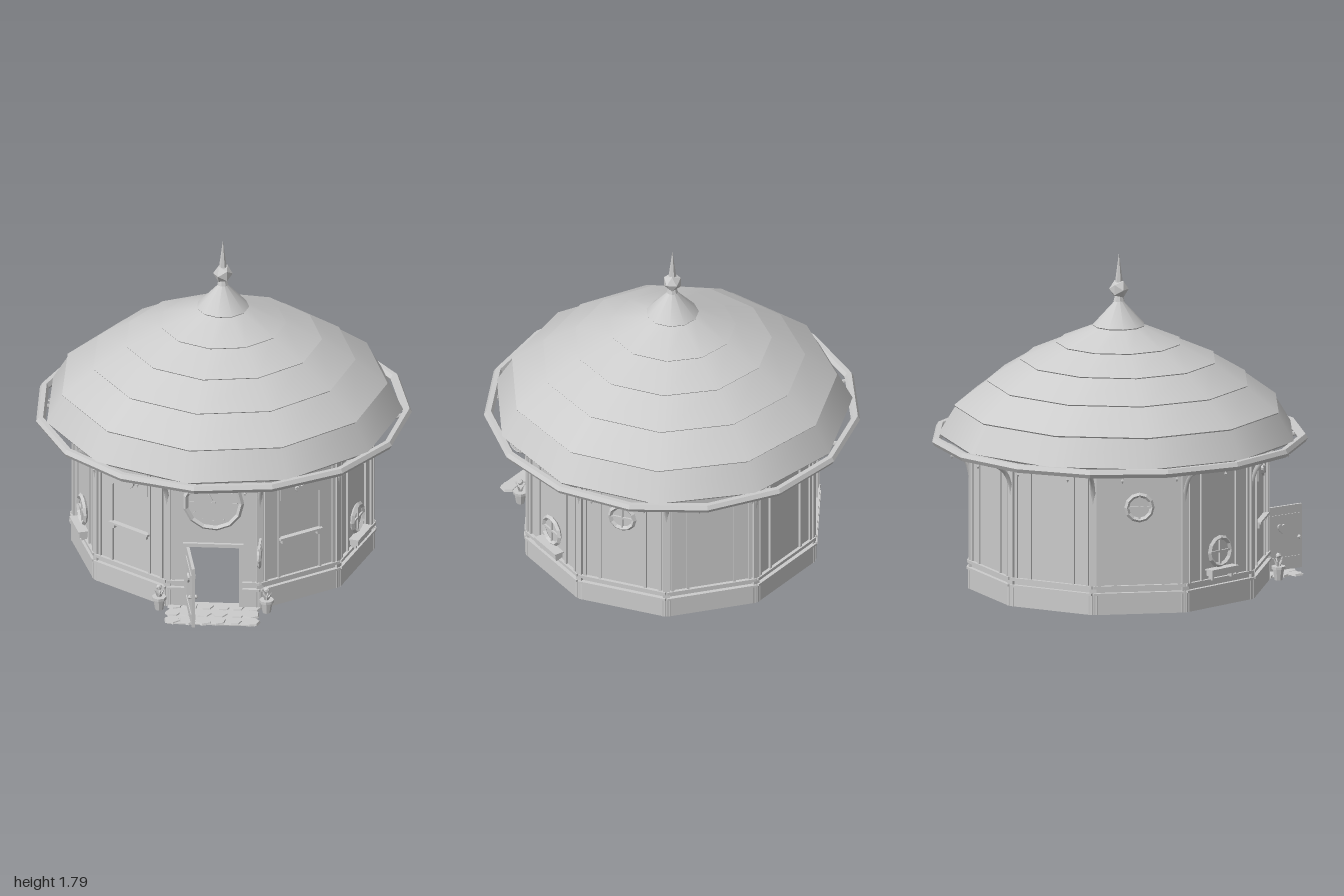
import * as THREE from 'three';

const plaster = new THREE.MeshStandardMaterial({ color: 0xcccccc, side: THREE.DoubleSide });
plaster.name = 'pale grey';
const RAD = Math.PI / 180;
const APO = 0.755; // wall distance from the centre

function add(parent, name, geo, x = 0, y = 0, z = 0) {
  const m = new THREE.Mesh(geo, plaster);
  m.name = name;
  m.position.set(x, y, z);
  parent.add(m);
  return m;
}
const flat = (geo) => {
  const g = geo.index ? geo.toNonIndexed() : geo;
  g.computeVertexNormals();
  return g;
};
const box = (p, name, w, h, d, x, y, z) => add(p, name, new THREE.BoxGeometry(w, h, d), x, y, z);

// Group turned so its z points outward at an angle measured from +x to +z
function turned(parent, name, deg) {
  const g = new THREE.Group();
  g.name = name;
  g.rotation.y = (90 - deg) * RAD;
  parent.add(g);
  return g;
}

function heart(s) {
  const h = new THREE.Shape();
  h.moveTo(0, -s);
  h.bezierCurveTo(-s * 1.5, 0, -s, s * 1.1, 0, s * 0.45);
  h.bezierCurveTo(s, s * 1.1, s * 1.5, 0, 0, -s);
  return new THREE.ExtrudeGeometry(h, { depth: 0.012, bevelEnabled: false, curveSegments: 6 });
}

function disc(r, d, n) {
  return flat(new THREE.CylinderGeometry(r, r, d, n).rotateX(Math.PI / 2));
}

// Round window with a cross and, low down, a flower box
function roundWindow(g, y, r, withBox) {
  add(g, 'windowPane', disc(r, 0.008, 12), 0, y, APO + 0.004);
  add(g, 'windowFrame', flat(new THREE.TorusGeometry(r, 0.013, 4, 12)), 0, y, APO + 0.012);
  box(g, 'windowBarAcross', r * 2, 0.01, 0.012, 0, y, APO + 0.012);
  box(g, 'windowBarUp', 0.01, r * 2, 0.012, 0, y, APO + 0.012);
  if (!withBox) return;
  box(g, 'flowerBox', 0.19, 0.03, 0.045, 0, 0.19, APO + 0.03);
  box(g, 'flowerBoxLip', 0.2, 0.008, 0.055, 0, 0.207, APO + 0.03);
  for (const s of [-1, 1]) box(g, 'flowerBoxBracket', 0.012, 0.03, 0.03, s * 0.07, 0.165, APO + 0.02);
}

// Serving hatch: valance with a heart above, shelf below
function hatch(g) {
  const v = new THREE.Shape();
  v.moveTo(-0.12, 0.78);
  v.lineTo(-0.12, 0.605);
  v.quadraticCurveTo(-0.105, 0.625, -0.08, 0.617);
  v.lineTo(0.08, 0.617);
  v.quadraticCurveTo(0.105, 0.625, 0.12, 0.605);
  v.lineTo(0.12, 0.78);
  add(g, 'hatchValance', new THREE.ExtrudeGeometry(v, { depth: 0.014, bevelEnabled: false }), 0, 0, APO);
  add(g, 'hatchHeart', heart(0.036), 0, 0.65, APO + 0.014);
  box(g, 'hatchShelf', 0.265, 0.012, 0.03, 0, 0.382, APO + 0.015);
  for (const s of [-1, 1]) box(g, 'shelfBracket', 0.012, 0.025, 0.02, s * 0.11, 0.364, APO + 0.01);
}

function clock(g) {
  const y = 0.62;
  add(g, 'clockFace', disc(0.148, 0.012, 13), 0, y, APO + 0.006);
  add(g, 'clockRim', flat(new THREE.TorusGeometry(0.15, 0.014, 4, 13)), 0, y, APO + 0.012);
  add(g, 'clockInnerRim', flat(new THREE.TorusGeometry(0.15, 0.01, 4, 13)), 0, y, APO - 0.024);
  for (let i = 0; i < 12; i++) {
    const a = i * 30 * RAD, len = i % 3 ? 0.012 : 0.024;
    const t = box(g, 'hourMark', 0.006, len, 0.006, Math.sin(a) * 0.115, y + Math.cos(a) * 0.115, APO + 0.014);
    t.rotation.z = -a;
  }
  box(g, 'minuteHand', 0.008, 0.09, 0.006, 0, y + 0.045, APO + 0.017);
  const h = box(g, 'hourHand', 0.01, 0.06, 0.006, -0.012, y + 0.026, APO + 0.018);
  h.rotation.z = 0.4;
  add(g, 'clockHub', disc(0.012, 0.012, 8), 0, y, APO + 0.018);
}

function pot(g, x, z) {
  add(g, 'flowerPot', flat(new THREE.CylinderGeometry(0.032, 0.022, 0.06, 8)), x, 0.03, z);
  add(g, 'potRim', flat(new THREE.CylinderGeometry(0.039, 0.039, 0.015, 8)), x, 0.067, z);
  for (let i = 0; i < 5; i++) {
    const a = i * 72 * RAD;
    const leaf = add(g, 'leaf', flat(new THREE.ConeGeometry(0.01, 0.06, 4)), x + Math.cos(a) * 0.015, 0.095, z + Math.sin(a) * 0.015);
    leaf.rotation.set(Math.sin(a) * 0.5, 0, -Math.cos(a) * 0.5);
  }
  add(g, 'bloom', flat(new THREE.IcosahedronGeometry(0.017, 0)), x, 0.13, z);
}

// Doorway, open door, sign, path and pots
function entrance(g) {
  for (const s of [-1, 1]) {
    box(g, 'doorJamb', 0.018, 0.365, 0.04, s * 0.146, 0.1825, APO - 0.005);
    pot(g, s * 0.285, 0.8);
  }
  box(g, 'doorLintel', 0.32, 0.02, 0.045, 0, 0.368, APO - 0.005);

  const door = new THREE.Group();
  door.name = 'openDoor';
  door.position.set(-0.135, 0, APO + 0.01);
  door.rotation.y = -80 * RAD;
  g.add(door);
  box(door, 'doorLeaf', 0.27, 0.345, 0.016, 0.135, 0.183, 0);
  for (const s of [-1, 1]) {
    for (const y of [0.07, 0.3]) box(door, 'doorBatten', 0.24, 0.02, 0.006, 0.135, y, s * 0.01);
    add(door, 'doorKnob', flat(new THREE.IcosahedronGeometry(0.012, 0)), 0.245, 0.18, s * 0.016);
  }
  add(door, 'doorHeart', heart(0.03), 0.135, 0.24, 0.006);

  // Hanging round sign
  box(g, 'signArm', 0.012, 0.012, 0.15, 0.25, 0.412, 0.825);
  for (const z of [0.81, 0.87]) box(g, 'signHanger', 0.005, 0.03, 0.005, 0.25, 0.395, z);
  add(g, 'signBoard', disc(0.058, 0.018, 12).rotateY(Math.PI / 2), 0.25, 0.348, 0.84);
  add(g, 'signRim', flat(new THREE.TorusGeometry(0.056, 0.011, 4, 12).rotateY(Math.PI / 2)), 0.25, 0.348, 0.84);

  // Flagstones
  let seed = 7;
  const rnd = () => (seed = (seed * 16807) % 2147483647) / 2147483647;
  box(g, 'pathBed', 0.46, 0.005, 0.26, 0, 0.0025, 0.845);
  for (let i = 0; i < 6; i++) for (let j = 0; j < 3; j++) {
    const r = 0.042 + rnd() * 0.01;
    const s = add(g, 'flagstone', flat(new THREE.CylinderGeometry(r * 0.9, r, 0.011, 6)), -0.2125 + i * 0.085 + (rnd() - 0.5) * 0.02, 0.0055, 0.765 + j * 0.085);
    s.rotation.y = rnd() * 3;
  }
}

function wall(parent, deg) {
  const g = turned(parent, 'wall', deg);
  const isDoor = deg === 123;
  const s = new THREE.Shape();
  s.moveTo(-0.245, 0);
  if (isDoor) for (const [x, y] of [[-0.14, 0], [-0.14, 0.36], [0.14, 0.36], [0.14, 0]]) s.lineTo(x, y);
  for (const [x, y] of [[0.245, 0], [0.245, 0.97], [-0.245, 0.97]]) s.lineTo(x, y);
  add(g, 'wallPanel', new THREE.ExtrudeGeometry(s, { depth: 0.02, bevelEnabled: false }), 0, 0, APO - 0.02);

  // Skirting and rails, split around the doorway
  const runs = isDoor ? [[-0.198, 0.092], [0.198, 0.092]] : [[0, 0.49]];
  for (const [x, w] of runs) {
    box(g, 'skirting', w, 0.105, 0.03, x, 0.0525, APO - 0.002);
    box(g, 'lowerRail', w, 0.012, 0.035, x, 0.111, APO + 0.004);
    box(g, 'upperRail', w, 0.016, 0.024, x, 0.147, APO + 0.006);
  }
  for (const m of [-1, 1]) {
    box(g, 'edgeBatten', 0.016, 0.8, 0.014, m * 0.212, 0.555, APO + 0.004);
    if (!isDoor) box(g, 'wallBatten', 0.014, 0.8, 0.014, m * 0.128, 0.555, APO + 0.004);
  }
  box(g, 'topRail', 0.48, 0.025, 0.016, 0, 0.9, APO + 0.006);

  if (isDoor) { clock(g); entrance(g); }
  if (deg === 87 || deg === 159) hatch(g);
  if (deg === 15 || deg === 231) roundWindow(g, 0.575, 0.068, false);
  if (deg === 51 || deg === 195) roundWindow(g, 0.295, 0.075, true);
}

// Corner post with a curved bracket holding the eave
function post(parent, deg) {
  const g = turned(parent, 'cornerPost', deg);
  box(g, 'post', 0.036, 0.96, 0.04, 0, 0.48, 0.782);
  box(g, 'postFoot', 0.046, 0.11, 0.05, 0, 0.055, 0.778);
  const arc = new THREE.QuadraticBezierCurve3(
    new THREE.Vector3(0, 0.6, 0.79), new THREE.Vector3(0, 0.77, 0.81), new THREE.Vector3(0, 0.79, 0.965));
  add(g, 'eaveBracket', new THREE.TubeGeometry(arc, 8, 0.013, 4));
}

function roof(parent) {
  const g = new THREE.Group();
  g.name = 'roof';
  parent.add(g);
  // Bottom radius and height of each tier
  const tiers = [[0.955, 0.81], [0.873, 0.962], [0.703, 1.097], [0.526, 1.212], [0.336, 1.303], [0.14, 1.393], [0.012, 1.545]];
  for (let i = 0; i < 6; i++) {
    const [r, y] = tiers[i], [r2, y2] = tiers[i + 1];
    const h = y2 - y - 0.004;
    add(g, 'roofTier', new THREE.CylinderGeometry(r2 - 0.008, r, h, 11, 1, true, Math.PI / 2), 0, y + 0.01 + h / 2, 0);
    add(g, 'tierEdge', new THREE.CylinderGeometry(r, r - 0.008, 0.01, 11, 1, true, Math.PI / 2), 0, y + 0.005, 0);
  }
  const rim = add(g, 'eaveRim', flat(new THREE.TorusGeometry(0.976, 0.025, 6, 15).rotateX(Math.PI / 2)), 0, 0.8, 0);
  rim.rotation.y = -8 * RAD;
  for (let i = 0; i < 20; i++) {
    const a = (i * 18 + 4) * RAD;
    add(g, 'eaveDrop', flat(new THREE.OctahedronGeometry(0.011, 0)).scale(0.8, 1.5, 0.8), Math.cos(a) * 0.935, 0.755, Math.sin(a) * 0.935);
  }
  // Finial
  add(g, 'finialCollar', flat(new THREE.CylinderGeometry(0.022, 0.03, 0.03, 8)), 0, 1.545, 0);
  add(g, 'finialBall', flat(new THREE.IcosahedronGeometry(0.052, 0)), 0, 1.595, 0);
  add(g, 'finialSpire', flat(new THREE.ConeGeometry(0.021, 0.16, 6)), 0, 1.71, 0);
}

export function createModel() {
  const model = new THREE.Group();
  model.name = 'roundHouse';
  for (let k = 0; k < 10; k++) {
    wall(model, 15 + 36 * k);
    post(model, -3 + 36 * k);
  }
  roof(model);
  return model;
}
